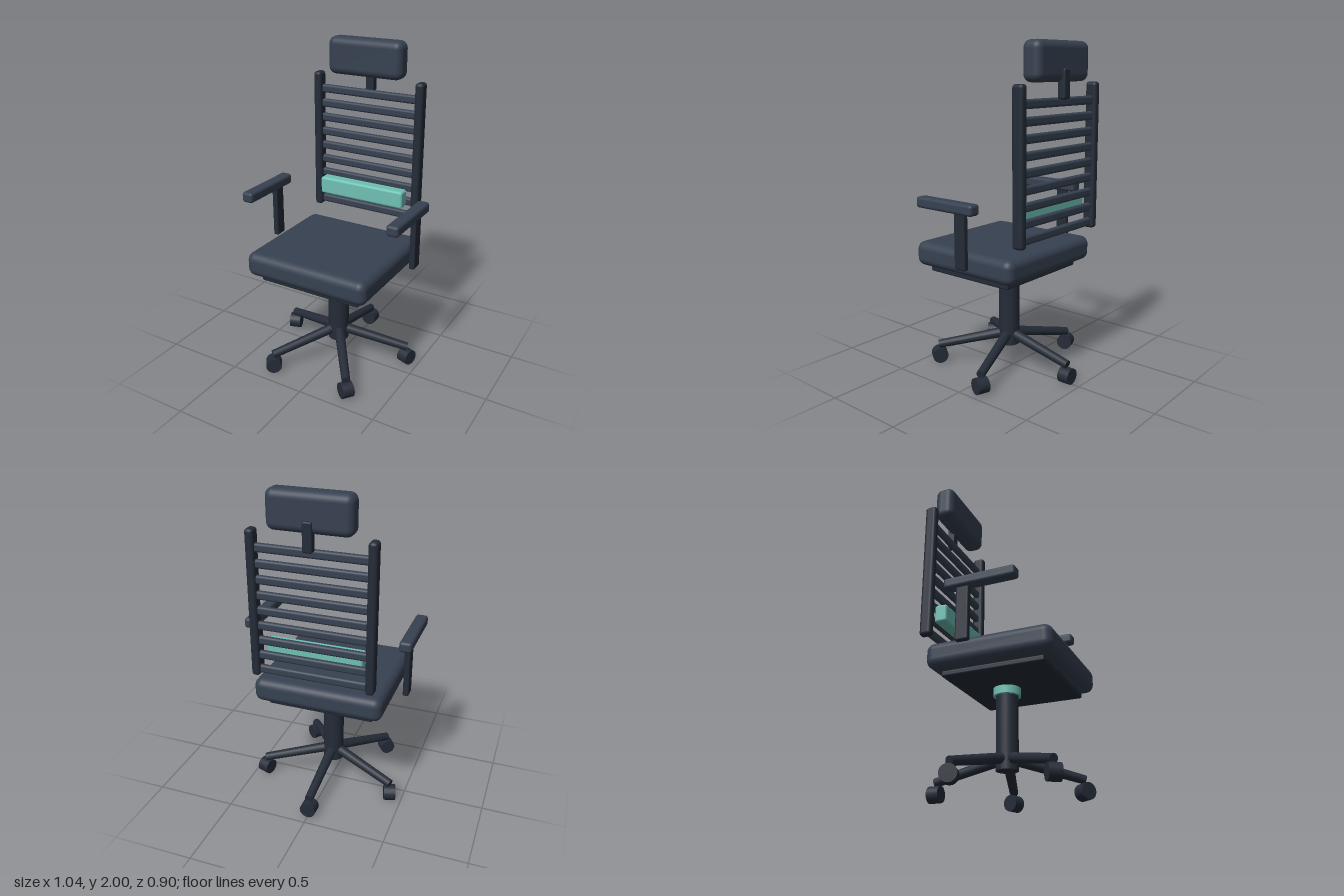
import * as THREE from 'three';
import { RoundedBoxGeometry } from 'three/addons/geometries/RoundedBoxGeometry.js';

const fabric = new THREE.MeshStandardMaterial({ color: 0x374151 });
const frame = new THREE.MeshStandardMaterial({ color: 0x252c38 });
const accent = new THREE.MeshStandardMaterial({ color: 0x6fc0b4 });

export function createModel() {
  const chair = new THREE.Group();
  chair.name = 'officeChair';

  const add = (name, geometry, material, x, y, z, parent = chair) => {
    const mesh = new THREE.Mesh(geometry, material);
    mesh.name = name;
    mesh.position.set(x, y, z);
    parent.add(mesh);
    return mesh;
  };
  const box = (w, h, d, r) => new RoundedBoxGeometry(w, h, d, 4, r);
  const cylinder = (rTop, rBottom, h, sides = 24) => new THREE.CylinderGeometry(rTop, rBottom, h, sides);
  const up = new THREE.Vector3(0, 1, 0);

  // Star base: five sloping legs with casters, the first pointing backwards
  const hubZ = 0.034;
  const base = new THREE.Group();
  base.name = 'starBase';
  base.position.z = hubZ;
  chair.add(base);
  for (let i = 0; i < 5; i++) {
    const a = (i / 5) * Math.PI * 2;
    const dx = Math.sin(a), dz = -Math.cos(a);
    const start = new THREE.Vector3(dx * 0.02, 0.215, dz * 0.02);
    const end = new THREE.Vector3(dx * 0.45, 0.118, dz * 0.45);
    const dir = end.clone().sub(start);
    const mid = start.clone().add(end).multiplyScalar(0.5);
    const leg = add('baseLeg', cylinder(0.026, 0.032, dir.length(), 16), frame, mid.x, mid.y, mid.z, base);
    leg.quaternion.setFromUnitVectors(up, dir.normalize());

    const caster = add('caster', cylinder(0.049, 0.049, 0.073, 20), frame, dx * 0.447, 0.051, dz * 0.447, base);
    caster.quaternion.setFromUnitVectors(up, new THREE.Vector3(dx, 0, -dz));
  }

  // Gas lift and seat
  add('column', cylinder(0.065, 0.065, 0.435), frame, 0, 0.3625, hubZ);
  add('columnCollar', cylinder(0.081, 0.081, 0.05), accent, 0, 0.603, hubZ);
  add('seatPlate', box(0.66, 0.035, 0.61, 0.01), frame, 0, 0.643, 0.08);
  add('seat', box(0.8, 0.15, 0.75, 0.05), fabric, 0, 0.742, 0.075);

  // Armrests and back uprights on both sides
  for (const side of [-1, 1]) {
    add('armPost', box(0.036, 0.34, 0.078, 0.01), frame, side * 0.484, 0.915, -0.021);
    add('armPad', box(0.075, 0.065, 0.43, 0.018), fabric, side * 0.484, 1.098, 0.084);
    add('backUpright', box(0.052, 0.885, 0.075, 0.02), frame, side * 0.346, 1.328, -0.324);
  }

  // Ladder back with lumbar pad
  for (let i = 0; i < 9; i++) {
    add('backSlat', box(0.66, 0.052, 0.034, 0.015), fabric, 0, 0.927 + i * 0.0922, -0.328);
  }
  add('lumbarPad', box(0.58, 0.11, 0.078, 0.015), accent, 0, 1.05, -0.27);

  // Headrest
  add('headrestPost', box(0.056, 0.168, 0.05, 0.01), frame, 0, 1.765, -0.36);
  add('headrest', box(0.49, 0.225, 0.128, 0.045), fabric, 0, 1.8875, -0.309);

  return chair;
}
